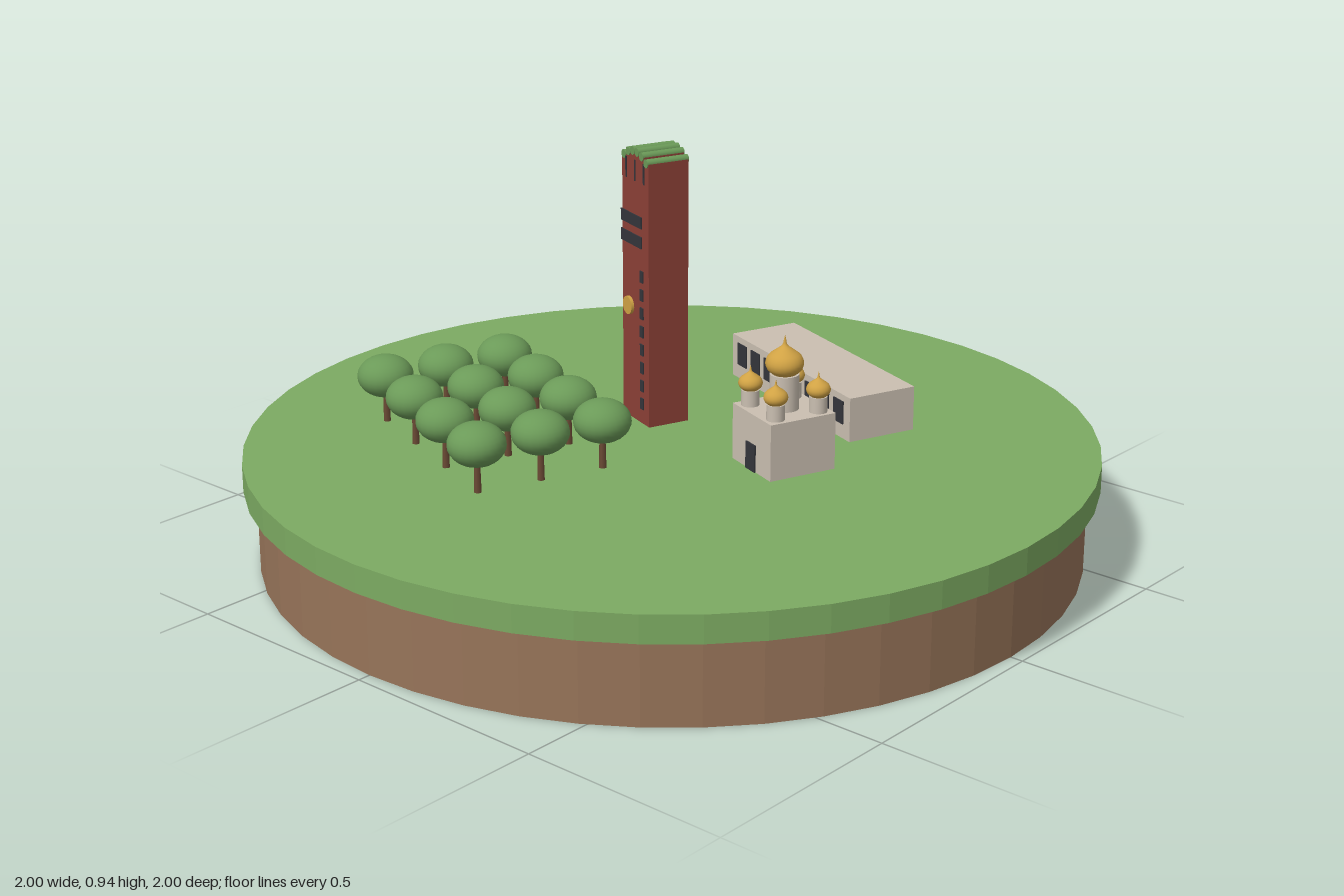
import * as THREE from 'three';

const mat = (name, color, flatShading = false) => {
  const m = new THREE.MeshStandardMaterial({ color, flatShading });
  m.name = name;
  return m;
};

export function createModel() {
  const grass = mat('grass green', 0x7caa62, true);
  const soil = mat('soil brown', 0x977459, true);
  const leaf = mat('leaf green', 0x6b9a58);
  const bark = mat('bark brown', 0x6b4a35);
  const brick = mat('brick red', 0x8c4036);
  const stone = mat('pale stone', 0xcabfb1);
  const gold = mat('gold', 0xd0a244);
  const glass = mat('dark glass', 0x34353b);

  const GROUND = 0.265;
  const TURN = -Math.PI / 9; // every feature shares the same 20 degree turn
  const root = new THREE.Group();
  root.name = 'parkIsland';

  const add = (parent, name, geo, material, x, y, z) => {
    const mesh = new THREE.Mesh(geo, material);
    mesh.name = name;
    mesh.position.set(x, y, z);
    parent.add(mesh);
    return mesh;
  };
  const box = (parent, name, material, w, h, d, x, y, z) =>
    add(parent, name, new THREE.BoxGeometry(w, h, d), material, x, y, z);
  const site = (name, x, z) => {
    const g = new THREE.Group();
    g.name = name;
    g.position.set(x, GROUND, z);
    g.rotation.y = TURN;
    root.add(g);
    return g;
  };

  // Round island: soil with an overhanging grass slab
  add(root, 'soilBase', new THREE.CylinderGeometry(0.97, 0.97, 0.2, 48), soil, 0, 0.1, 0);
  add(root, 'grassSlab', new THREE.CylinderGeometry(1, 1, 0.065, 48), grass, 0, 0.2325, 0);

  // Brick tower
  const tower = site('tower', -0.12, -0.077);
  const W = 0.13, D = 0.105, H = 0.635, front = D / 2;
  box(tower, 'towerBody', brick, W, H, D, 0, H / 2, 0);
  // Ribbed roof: six ridges following a shallow arch
  const pitch = W / 6;
  for (let i = 0; i < 6; i++) {
    const x = (i - 2.5) * pitch;
    const y = H + 0.008 + 0.018 * (1 - (x / 0.054) ** 2);
    box(tower, 'ridgeSupport', brick, pitch, y - H, D, x, (y + H) / 2, 0);
    const ridge = add(tower, 'roofRidge', new THREE.CylinderGeometry(0.0105, 0.0105, D + 0.004, 12), leaf, x, y, 0);
    ridge.rotation.x = Math.PI / 2;
    if (i % 2) box(tower, 'topSlot', glass, 0.005, 0.05, 0.004, x - pitch / 2, H - 0.02, front);
  }
  // Bands wrapping the front corner
  for (const y of [0.447, 0.495]) {
    box(tower, 'frontBand', glass, 0.1, 0.028, 0.006, -W / 2 + 0.047, y, front);
    box(tower, 'sideBand', glass, 0.006, 0.028, 0.055, -W / 2, y, front - 0.0245);
  }
  for (let i = 0; i < 8; i++)
    box(tower, 'towerWindow', glass, 0.015, 0.028, 0.006, 0.032, 0.365 - i * 0.045, front);
  const clock = add(tower, 'clockFace', new THREE.CylinderGeometry(0.022, 0.022, 0.009, 24), gold, -0.03, 0.28, front + 0.003);
  clock.rotation.x = Math.PI / 2;

  // Long low hall with a row of windows
  const hall = site('longHall', 0.113, -0.419);
  box(hall, 'hallBody', stone, 0.545, 0.108, 0.178, 0, 0.054, 0);
  for (let i = 0; i < 8; i++)
    box(hall, 'hallWindow', glass, 0.042, 0.056, 0.006, (i - 3.5) * 0.064, 0.064, 0.089);

  // Domed church
  const church = site('church', 0.307, -0.036);
  box(church, 'churchBody', stone, 0.17, 0.135, 0.17, 0, 0.0675, 0);
  box(church, 'churchDoor', glass, 0.04, 0.065, 0.008, 0, 0.0325, 0.085);
  const onionProfile = new THREE.SplineCurve([
    [0.62, 0], [0.9, 0.25], [1, 0.6], [0.85, 0.98], [0.45, 1.3], [0.14, 1.55], [0.06, 1.85], [0, 2.1],
  ].map(([x, y]) => new THREE.Vector2(x, y))).getPoints(24);
  onionProfile.forEach((p) => { p.x = Math.max(p.x, 0); });
  const cupola = (x, z, r, drumR, drumH) => {
    add(church, 'drum', new THREE.CylinderGeometry(drumR, drumR, drumH, 20), stone, x, 0.135 + drumH / 2, z);
    const dome = add(church, 'onionDome', new THREE.LatheGeometry(onionProfile, 24), gold, x, 0.135 + drumH, z);
    dome.scale.setScalar(r);
  };
  cupola(0, 0, 0.044, 0.034, 0.083);
  for (const sx of [-1, 1])
    for (const sz of [-1, 1]) cupola(sx * 0.056, sz * 0.056, 0.028, 0.021, 0.037);

  // Orchard: four by three round-topped trees
  const orchard = site('orchard', -0.283, 0.313);
  const trunkGeo = new THREE.CylinderGeometry(0.007, 0.009, 0.09, 8);
  const crownGeo = new THREE.SphereGeometry(0.067, 24, 16);
  for (let row = -1; row <= 1; row++)
    for (let col = 0; col < 4; col++) {
      const x = (col - 1.5) * 0.173, z = row * 0.156;
      add(orchard, 'trunk', trunkGeo, bark, x, 0.045, z);
      add(orchard, 'crown', crownGeo, leaf, x, 0.114, z).scale.y = 0.75;
    }
  return root;
}
